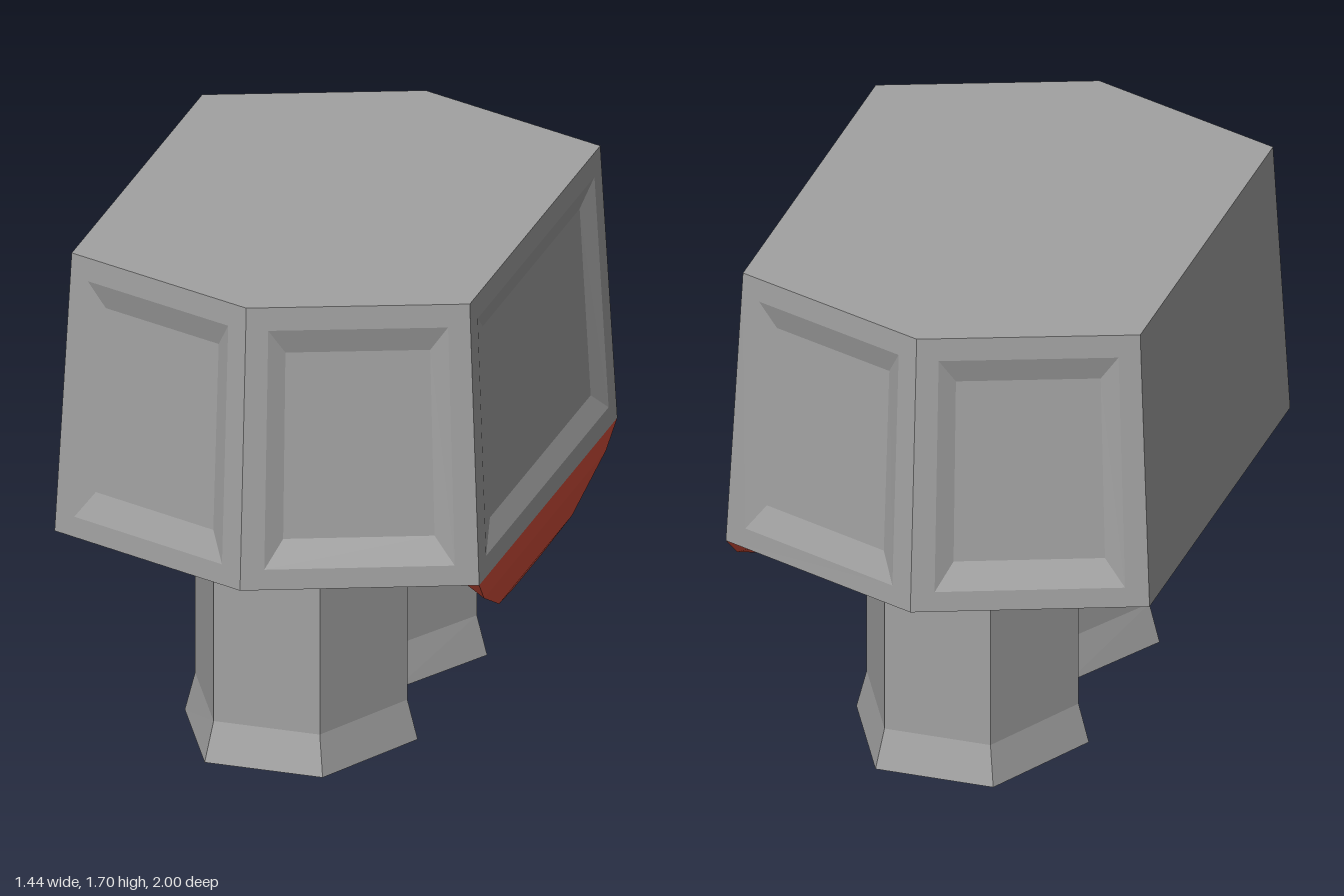
import * as THREE from 'three';

const grey = () => new THREE.MeshStandardMaterial({ color: 0xa1a1a1, flatShading: true });

// Flat-shaded geometry from quads and polygons (corners counter-clockwise from outside)
function facets(polys) {
  const pos = [];
  for (const p of polys)
    for (let i = 1; i < p.length - 1; i++)
      for (const v of [p[0], p[i], p[i + 1]]) pos.push(...v);
  const g = new THREE.BufferGeometry();
  g.setAttribute('position', new THREE.Float32BufferAttribute(pos, 3));
  g.computeVertexNormals();
  return g;
}

// Closed solid through horizontal rings, listed from bottom to top
function loft(rings) {
  const n = rings[0].length;
  const polys = [[...rings[0]].reverse(), rings[rings.length - 1]];
  for (let k = 0; k < rings.length - 1; k++)
    for (let i = 0; i < n; i++) {
      const j = (i + 1) % n;
      polys.push([rings[k][i], rings[k][j], rings[k + 1][j], rings[k + 1][i]]);
    }
  return facets(polys);
}

// Wall [bottom left, bottom right, top right, top left] with a bevelled sunken panel
function panelWall(corners, edge, insetL, insetR, vLow, vHigh, depth) {
  const [a, b, c, d] = corners.map((p) => new THREE.Vector3(...p));
  const normal = b.clone().sub(a).cross(d.clone().sub(a)).normalize();
  const at = (u, v, sink) =>
    a.clone().lerp(b, u).lerp(d.clone().lerp(c, u), v).addScaledVector(normal, -sink).toArray();
  const rect = (l, r, lo, hi, sink) =>
    [at(l, lo, sink), at(1 - r, lo, sink), at(1 - r, 1 - hi, sink), at(l, 1 - hi, sink)];
  const outer = rect(edge, edge, 0.072, 0.082, 0);
  const inner = rect(insetL, insetR, vLow, vHigh, depth);
  const polys = [inner];
  for (let i = 0; i < 4; i++) {
    const j = (i + 1) % 4;
    polys.push([corners[i], corners[j], outer[j], outer[i]]);
    polys.push([outer[i], outer[j], inner[j], inner[i]]);
  }
  return polys;
}

function createBody() {
  // Stretched hexagon, counter-clockwise seen from above
  const ring = (x, z, tip, y) =>
    [[0, y, tip], [x, y, z], [x, y, -z], [0, y, -tip], [-x, y, -z], [-x, y, z]];
  const low = ring(0.72, 0.72, 1, 0.73);
  const high = ring(0.675, 0.68, 0.935, 1.695);
  const polys = [[...low].reverse(), high];
  for (let i = 0; i < 6; i++) {
    const j = (i + 1) % 6;
    const wall = [low[i], low[j], high[j], high[i]];
    if (i === 4) polys.push(wall); // plain side
    else if (i === 1) polys.push(...panelWall(wall, 0.055, 0.147, 0.118, 0.152, 0.165, 0.027));
    else polys.push(...panelWall(wall, 0.1, 0.18, 0.18, 0.17, 0.17, 0.027));
  }
  const body = new THREE.Mesh(facets(polys), grey());
  body.name = 'body';
  return body;
}

function createLeg(name, side) {
  const ring = (y, x, half, near, far) => {
    const pts = [[half, y, far], [x, y, 0.362], [half, y, near],
      [-half, y, near], [-x, y, 0.362], [-half, y, far]];
    // Mirror front to back, reversing the order to keep faces outward
    return side > 0 ? pts : pts.map(([px, py, pz]) => [px, py, -pz]).reverse();
  };
  const leg = new THREE.Mesh(loft([
    ring(0, 0.395, 0.2, 0.005, 0.754),
    ring(0.135, 0.36, 0.18, 0.038, 0.722),
    ring(0.73, 0.36, 0.18, 0.038, 0.722),
  ]), grey());
  leg.name = name;
  return leg;
}

function createKeel() {
  // [y, inner x, outer x, half length along the outer edge]
  const levels = [[0.473, 0.613, 0.648, 0.14], [0.52, 0.583, 0.677, 0.38],
    [0.648, 0.552, 0.709, 0.635], [0.73, 0.54, 0.72, 0.72]];
  // Ends slant, so the inner edge is shorter than the outer one
  const rings = levels.map(([y, x0, x1, z]) =>
    [[x0, y, z * 0.75], [x1, y, z], [x1, y, -z], [x0, y, -z * 0.75]]);
  const keel = new THREE.Mesh(loft(rings),
    new THREE.MeshStandardMaterial({ color: 0xd8503c, flatShading: true }));
  keel.name = 'redKeel';
  return keel;
}

export function createModel() {
  const model = new THREE.Group();
  model.name = 'model';
  model.add(createBody(), createLeg('frontLeg', 1), createLeg('backLeg', -1), createKeel());
  return model;
}
